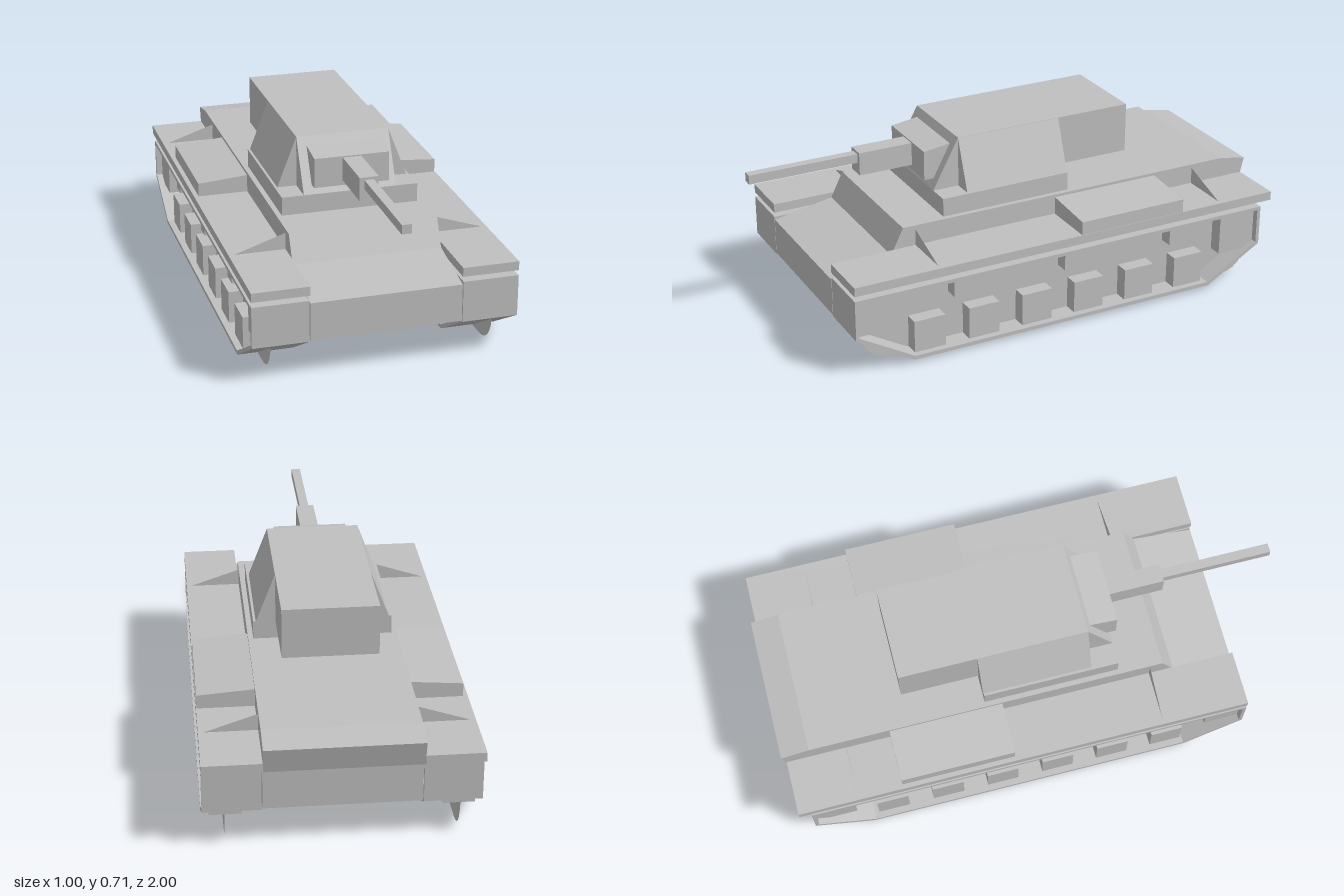
import * as THREE from 'three';

const paint = new THREE.MeshStandardMaterial({ color: 0xbfbfbf });
paint.name = 'plainGrey';
const thinPaint = new THREE.MeshStandardMaterial({ color: 0xbfbfbf, side: THREE.DoubleSide });
thinPaint.name = 'plainGreyThin';

const toShape = (pts) => new THREE.Shape(pts.map(([a, b]) => new THREE.Vector2(a, b)));

export function createModel() {
  const model = new THREE.Group();

  const add = (name, geometry, material = paint) => {
    const mesh = new THREE.Mesh(geometry, material);
    mesh.name = name;
    model.add(mesh);
    return mesh;
  };

  // box given by its limits on each axis
  const box = (name, x0, x1, y0, y1, z0, z1) => {
    const g = new THREE.BoxGeometry(Math.abs(x1 - x0), y1 - y0, Math.abs(z1 - z0));
    g.translate((x0 + x1) / 2, (y0 + y1) / 2, (z0 + z1) / 2);
    return add(name, g);
  };

  // side profile of [z, y] points, swept from x0 to x1
  const sweepX = (name, shape, x0, x1) => {
    const g = new THREE.ExtrudeGeometry(shape, { depth: Math.abs(x1 - x0), bevelEnabled: false, curveSegments: 6 });
    g.rotateY(-Math.PI / 2).translate(Math.max(x0, x1), 0, 0);
    return add(name, g);
  };

  // front profile of [x, y] points, swept from z0 to z1
  const sweepZ = (name, pts, z0, z1) => {
    const g = new THREE.ExtrudeGeometry(toShape(pts), { depth: z1 - z0, bevelEnabled: false });
    g.translate(0, 0, z0);
    return add(name, g);
  };

  // hull
  sweepX('hull', toShape([
    [0.72, 0.125], [0.8, 0.155], [0.8, 0.3], [0.56, 0.345], [0.51, 0.445],
    [-0.89, 0.445], [-1, 0.425], [-0.975, 0.325], [-0.94, 0.31], [-0.94, 0.155], [-0.86, 0.125],
  ]), -0.285, 0.285);

  // turret
  box('turretBase', -0.265, 0.265, 0.445, 0.517, -0.195, 0.335);
  sweepX('turretBody', toShape([[0.335, 0.517], [0.23, 0.712], [-0.5, 0.712], [-0.5, 0.517]]), -0.18, 0.18);
  sweepZ('turretCheeks', [[-0.255, 0.517], [0.255, 0.517], [0.18, 0.711], [-0.18, 0.711]], -0.197, 0.23);

  // gun
  sweepX('mantlet', toShape([[0.2, 0.55], [0.355, 0.55], [0.355, 0.665], [0.245, 0.68], [0.2, 0.68]]), -0.145, 0.145);
  box('gunSleeve', -0.036, 0.036, 0.57, 0.66, 0.3, 0.57);
  box('gunBarrel', -0.018, 0.018, 0.615, 0.65, 0.57, 1);

  for (const s of [1, -1]) {
    // track belt, a thin closed loop
    const belt = toShape([[0.8, 0.31], [0.8, 0.15], [0.57, 0.015], [-0.71, 0.015], [-0.94, 0.15], [-0.94, 0.31]]);
    belt.holes.push(toShape([[0.786, 0.296], [-0.926, 0.296], [-0.926, 0.158], [-0.706, 0.03], [0.566, 0.03], [0.786, 0.158]]));
    sweepX('trackBelt', belt, s * 0.288, s * 0.5);

    // wheel panel with rounded lower corners
    const panel = new THREE.Shape();
    panel.moveTo(0.755, 0.25);
    panel.lineTo(0.755, 0.13);
    panel.quadraticCurveTo(0.735, 0.008, 0.62, 0.008);
    panel.lineTo(0.25, 0);
    panel.lineTo(-0.6, 0);
    panel.lineTo(-0.82, 0.003);
    panel.quadraticCurveTo(-0.925, 0.01, -0.938, 0.13);
    panel.lineTo(-0.938, 0.25);
    const g = new THREE.ShapeGeometry(panel, 6);
    g.rotateY(-Math.PI / 2).translate(s * 0.42, 0, 0);
    add('wheelPanel', g, thinPaint);

    // road wheels, return rollers and end wheels
    for (let i = 0; i < 6; i++) {
      const z = 0.495 - i * 0.224;
      box('roadWheel', s * 0.36, s * 0.475, 0.03, 0.157, z - 0.063, z + 0.063);
    }
    for (const z of [0.36, -0.105, -0.57]) {
      box('returnRoller', s * 0.36, s * 0.475, 0.22, 0.296, z - 0.034, z + 0.034);
    }
    box('driveWheel', s * 0.36, s * 0.475, 0.15, 0.296, 0.65, 0.786);
    box('idlerWheel', s * 0.36, s * 0.475, 0.13, 0.296, -0.926, -0.77);

    // fender and the sloped stowage box on it
    box('fender', s * 0.285, s * 0.5, 0.33, 0.365, -0.985, 0.8);
    const outer = s > 0 ? 0.498 : 0.482;
    sweepZ('stowageBox', [[s * 0.285, 0.365], [s * outer, 0.365], [s * outer, 0.418], [s * 0.285, 0.434]], -0.575, -0.13);

    // fender braces above and below
    for (const z of [0.46, -0.75]) {
      const brace = new THREE.ShapeGeometry(toShape([[s * 0.285, 0.365], [s * 0.48, 0.365], [s * 0.285, 0.43]]));
      add('fenderBrace', brace.translate(0, 0, z), thinPaint);
      const strut = new THREE.ShapeGeometry(toShape([[s * 0.37, 0.33], [s * 0.48, 0.33], [s * 0.47, 0.31], [s * 0.45, 0.31]]));
      add('fenderStrut', strut.translate(0, 0, z), thinPaint);
    }
  }

  return model;
}
